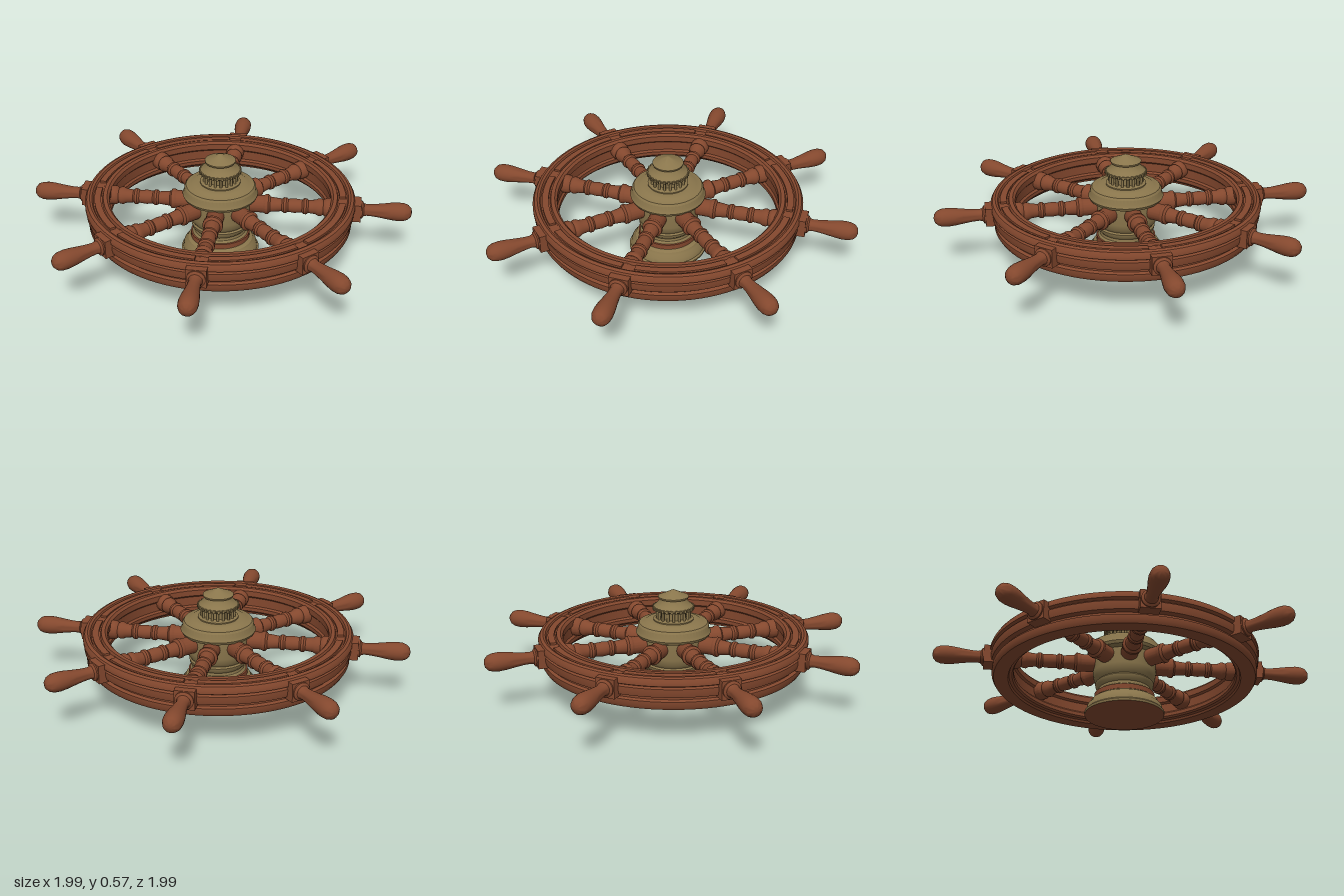
import * as THREE from 'three';
import { toCreasedNormals } from 'three/addons/utils/BufferGeometryUtils.js';

const wood = new THREE.MeshStandardMaterial({ color: 0x84482e });
wood.name = 'wood';
const brass = new THREE.MeshStandardMaterial({ color: 0x8a764c });
brass.name = 'aged brass';

function add(parent, name, geometry, material) {
  const mesh = new THREE.Mesh(geometry, material);
  mesh.name = name;
  parent.add(mesh);
  return mesh;
}

// Turned part from [radius, height] pairs, listed upwards on the outside
function turned(points, segments) {
  const profile = points.map(([r, y]) => new THREE.Vector2(r, y));
  return toCreasedNormals(new THREE.LatheGeometry(profile, segments), 0.6);
}

// Turned part lying along +x
const turnedAlongX = (points, segments) => turned(points, segments).rotateZ(-Math.PI / 2);

function createRim() {
  const rim = new THREE.Group();
  rim.name = 'rim';
  // Closed cross-section: stepped outside, channelled top and underside
  add(rim, 'rimRing', turned([
    [0.585, 0.2], [0.6, 0.195], [0.605, 0.183], [0.655, 0.183], [0.68, 0.183],
    [0.69, 0.2], [0.69, 0.225], [0.675, 0.232], [0.675, 0.242], [0.695, 0.25],
    [0.7, 0.27], [0.7, 0.292], [0.69, 0.3], [0.705, 0.308], [0.705, 0.325],
    [0.695, 0.342], [0.68, 0.348], [0.668, 0.342], [0.662, 0.33], [0.615, 0.33],
    [0.61, 0.345], [0.59, 0.345], [0.578, 0.332], [0.578, 0.3], [0.588, 0.29],
    [0.588, 0.24], [0.578, 0.23], [0.578, 0.21], [0.585, 0.2],
  ], 96), wood);

  // Raised curved panels in the top channel
  const panel = new THREE.Shape();
  panel.absarc(0, 0, 0.655, 0.05, Math.PI / 4 - 0.05, false);
  panel.absarc(0, 0, 0.622, Math.PI / 4 - 0.05, 0.05, true);
  const panelGeometry = new THREE.ExtrudeGeometry(panel, { depth: 0.012, bevelEnabled: false, curveSegments: 12 });
  panelGeometry.rotateX(-Math.PI / 2);
  for (let i = 0; i < 8; i++) {
    const mesh = add(rim, 'rimPanel', panelGeometry, wood);
    mesh.position.y = 0.329;
    mesh.rotation.y = (i * Math.PI) / 4;
  }
  return rim;
}

function createSpokes() {
  const spokes = new THREE.Group();
  spokes.name = 'spokes';
  // Beaded baluster between hub and rim
  const shaft = turnedAlongX([
    [0.045, 0.12], [0.046, 0.23], [0.052, 0.24], [0.052, 0.255], [0.04, 0.265],
    [0.036, 0.3], [0.033, 0.325], [0.041, 0.335], [0.041, 0.348], [0.034, 0.358],
    [0.038, 0.39], [0.034, 0.43], [0.042, 0.44], [0.042, 0.453], [0.034, 0.463],
    [0.038, 0.5], [0.046, 0.515], [0.046, 0.53], [0.04, 0.54], [0.05, 0.555], [0.05, 0.62],
  ], 20);
  // Grip swelling toward a rounded tip
  const grip = turnedAlongX([
    [0.046, 0.7], [0.046, 0.742], [0.034, 0.75], [0.03, 0.765], [0.032, 0.8],
    [0.038, 0.845], [0.045, 0.89], [0.048, 0.925], [0.046, 0.955], [0.038, 0.977],
    [0.022, 0.992], [0, 0.997],
  ], 24);
  const collar = new THREE.BoxGeometry(0.06, 0.095, 0.1).translate(0.705, 0, 0);
  const angles = [1, 46, 89.3, 133.5, 180.7, 225, 269, 313.5];
  for (const degrees of angles) {
    const spoke = new THREE.Group();
    spoke.name = 'spoke';
    add(spoke, 'spokeShaft', shaft, wood);
    add(spoke, 'spokeCollar', collar, wood);
    add(spoke, 'spokeGrip', grip, wood);
    spoke.position.y = 0.285;
    spoke.rotation.y = THREE.MathUtils.degToRad(degrees);
    spokes.add(spoke);
  }
  return spokes;
}

function createHub() {
  const hub = new THREE.Group();
  hub.name = 'hub';
  // Flared pedestal, waist and domed cap
  add(hub, 'pedestal', turned([
    [0.205, 0], [0.207, 0.012], [0.198, 0.02], [0.193, 0.045], [0.178, 0.062],
    [0.172, 0.075], [0.155, 0.085], [0.148, 0.115], [0.138, 0.125], [0.136, 0.14],
    [0.15, 0.155], [0.153, 0.172], [0.145, 0.18], [0.16, 0.2], [0.165, 0.23],
    [0.165, 0.315], [0.19, 0.325], [0.197, 0.34], [0.188, 0.355], [0.186, 0.38],
    [0.178, 0.39], [0.15, 0.395], [0.14, 0.402], [0.11, 0.404], [0, 0.404],
  ], 64), brass);
  const foot = add(hub, 'footDisc', new THREE.CircleGeometry(0.205, 64), wood);
  foot.rotation.x = Math.PI / 2;
  add(hub, 'pedestalBand', turned([
    [0.145, 0.085], [0.156, 0.087], [0.156, 0.113], [0.143, 0.115],
  ], 64), wood);
  return hub;
}

function createLantern() {
  const lantern = new THREE.Group();
  lantern.name = 'lantern';
  add(lantern, 'lanternCore', new THREE.CylinderGeometry(0.065, 0.065, 0.07, 32).translate(0, 0.435, 0), brass);
  add(lantern, 'lanternSill', turned([[0.105, 0.402], [0.105, 0.41], [0.095, 0.414], [0, 0.414]], 48), brass);
  const pillar = new THREE.CylinderGeometry(0.007, 0.007, 0.06, 8).translate(0.085, 0.438, 0);
  for (let i = 0; i < 18; i++) {
    add(lantern, 'lanternPillar', pillar, brass).rotation.y = (i * Math.PI) / 9;
  }
  // Two tiers of eaves under a shallow cone
  add(lantern, 'lanternRoof', turned([
    [0, 0.462], [0.098, 0.462], [0.104, 0.468], [0.104, 0.476], [0.088, 0.49],
    [0.068, 0.512], [0.066, 0.518], [0.078, 0.521], [0.08, 0.53], [0.045, 0.545],
    [0.018, 0.558], [0, 0.566],
  ], 48), brass);
  // Small teeth around the lower eave
  const tooth = new THREE.BoxGeometry(0.012, 0.016, 0.012).translate(0.104, 0.47, 0);
  for (let i = 0; i < 28; i++) {
    add(lantern, 'eaveTooth', tooth, brass).rotation.y = (i * Math.PI) / 14;
  }
  return lantern;
}

export function createModel() {
  const model = new THREE.Group();
  model.name = 'shipWheel';
  model.add(createRim(), createSpokes(), createHub(), createLantern());
  return model;
}
